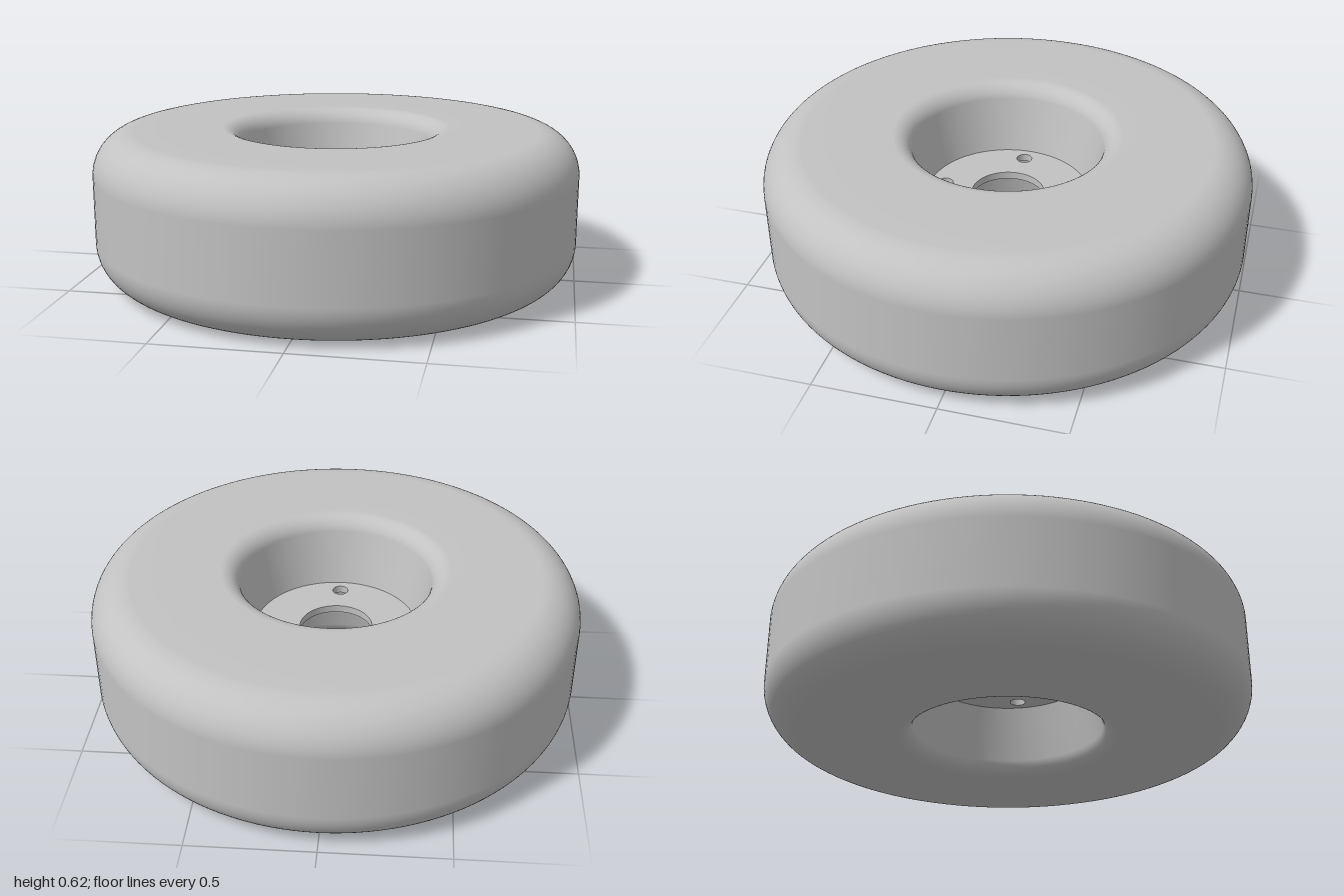
import * as THREE from 'three';

const HEIGHT = 0.617, MID = HEIGHT / 2;
const PLATE_RADIUS = 0.34, PLATE_HALF = 0.016;

// Points along an arc, angles in degrees
function arc(cx, cy, r, from, to, steps) {
  return Array.from({ length: steps + 1 }, (_, i) => {
    const a = THREE.MathUtils.degToRad(from + (to - from) * i / steps);
    return new THREE.Vector2(cx + r * Math.cos(a), cy + r * Math.sin(a));
  });
}

export function createModel() {
  const group = new THREE.Group();
  group.name = 'wheel';
  const grey = new THREE.MeshStandardMaterial({ color: 0xc2c2c2 });
  grey.name = 'light grey';

  // Rounded wheel body with a tapered, filleted bore on both sides
  const R = 0.17, r = 0.08, taper = 13;
  const profile = [
    new THREE.Vector2(PLATE_RADIUS, MID - PLATE_HALF),
    ...arc(0.47, r, r, 180 + taper, 270, 10),
    ...arc(1 - R, R, R, -90, 0, 16),
    ...arc(1 - R, HEIGHT - R, R, 0, 90, 16),
    ...arc(0.47, HEIGHT - r, r, 90, 180 - taper, 10),
    new THREE.Vector2(PLATE_RADIUS, MID + PLATE_HALF),
  ];
  const body = new THREE.Mesh(new THREE.LatheGeometry(profile, 128), grey);
  body.name = 'wheelBody';
  group.add(body);

  // Thin hub plate with a centre hole and four bolt holes
  const disc = new THREE.Shape().absarc(0, 0, PLATE_RADIUS + 0.001, 0, Math.PI * 2, false);
  const addHole = (x, y, radius) =>
    disc.holes.push(new THREE.Path().absarc(x, y, radius, 0, Math.PI * 2, true));
  addHole(0, 0, 0.152);
  for (let i = 0; i < 4; i++) {
    const a = i * Math.PI / 2;
    addHole(0.276 * Math.cos(a), 0.276 * Math.sin(a), 0.033);
  }
  const plateGeometry = new THREE.ExtrudeGeometry(disc, {
    depth: PLATE_HALF * 2, bevelEnabled: false, curveSegments: 64,
  });
  plateGeometry.rotateX(-Math.PI / 2);
  plateGeometry.translate(0, MID - PLATE_HALF, 0);
  const plate = new THREE.Mesh(plateGeometry, grey);
  plate.name = 'hubPlate';
  group.add(plate);

  return group;
}
